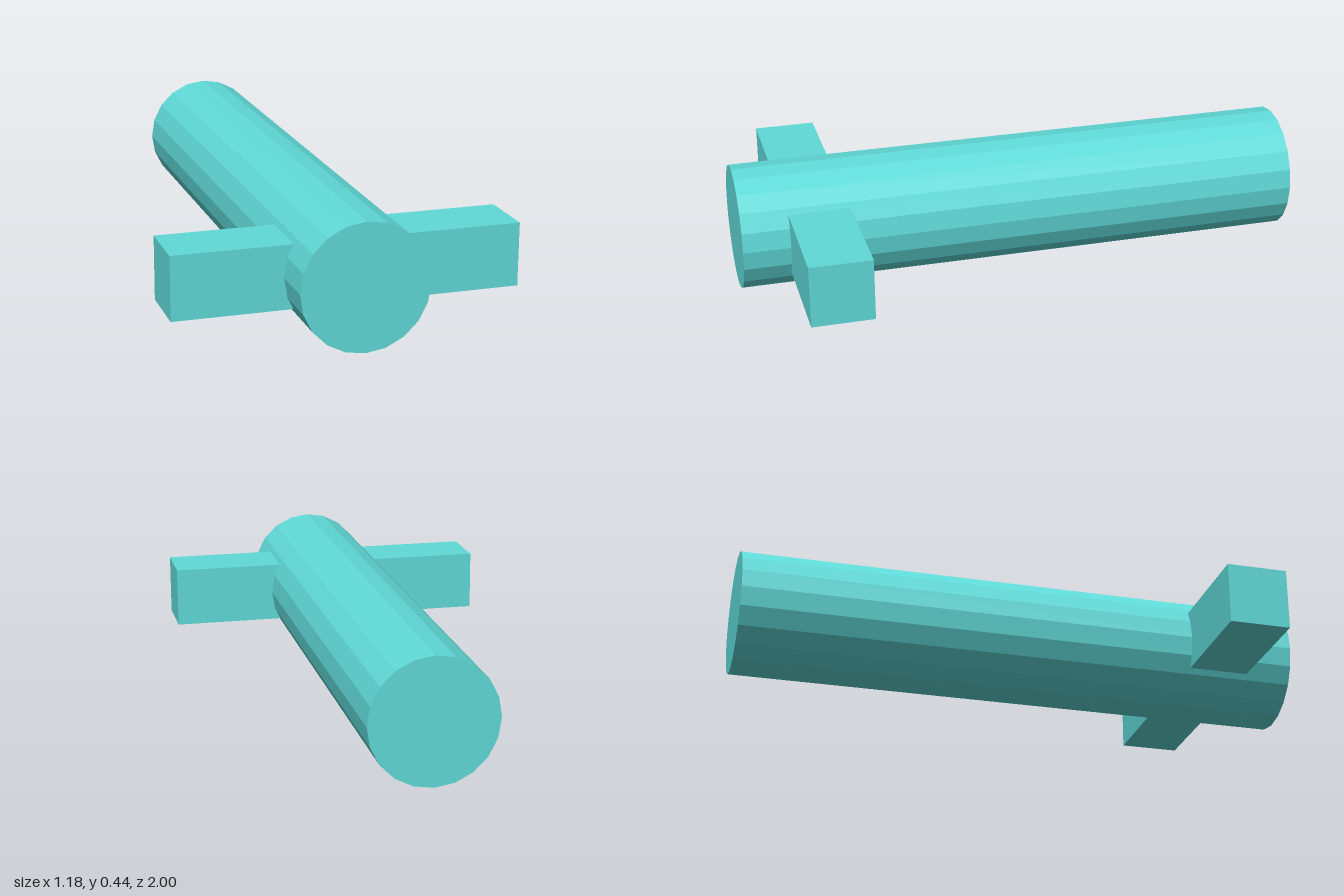
import * as THREE from 'three';

export function createModel() {
  const group = new THREE.Group();
  const turquoise = new THREE.MeshStandardMaterial({ color: 0x60dad8 });
  turquoise.name = 'turquoise';
  turquoise.flatShading = true;

  const radius = 0.218;

  // Long 20-sided barrel lying along z
  const barrelGeometry = new THREE.CylinderGeometry(radius, radius, 2, 20);
  barrelGeometry.rotateX(Math.PI / 2);
  const barrel = new THREE.Mesh(barrelGeometry, turquoise);
  barrel.name = 'barrel';
  barrel.position.y = radius;
  group.add(barrel);

  // Square crossbar passing through the barrel near the front
  const crossbar = new THREE.Mesh(new THREE.BoxGeometry(1.18, 0.218, 0.215), turquoise);
  crossbar.name = 'crossbar';
  crossbar.position.set(0, 0.219, 0.728);
  group.add(crossbar);

  return group;
}
